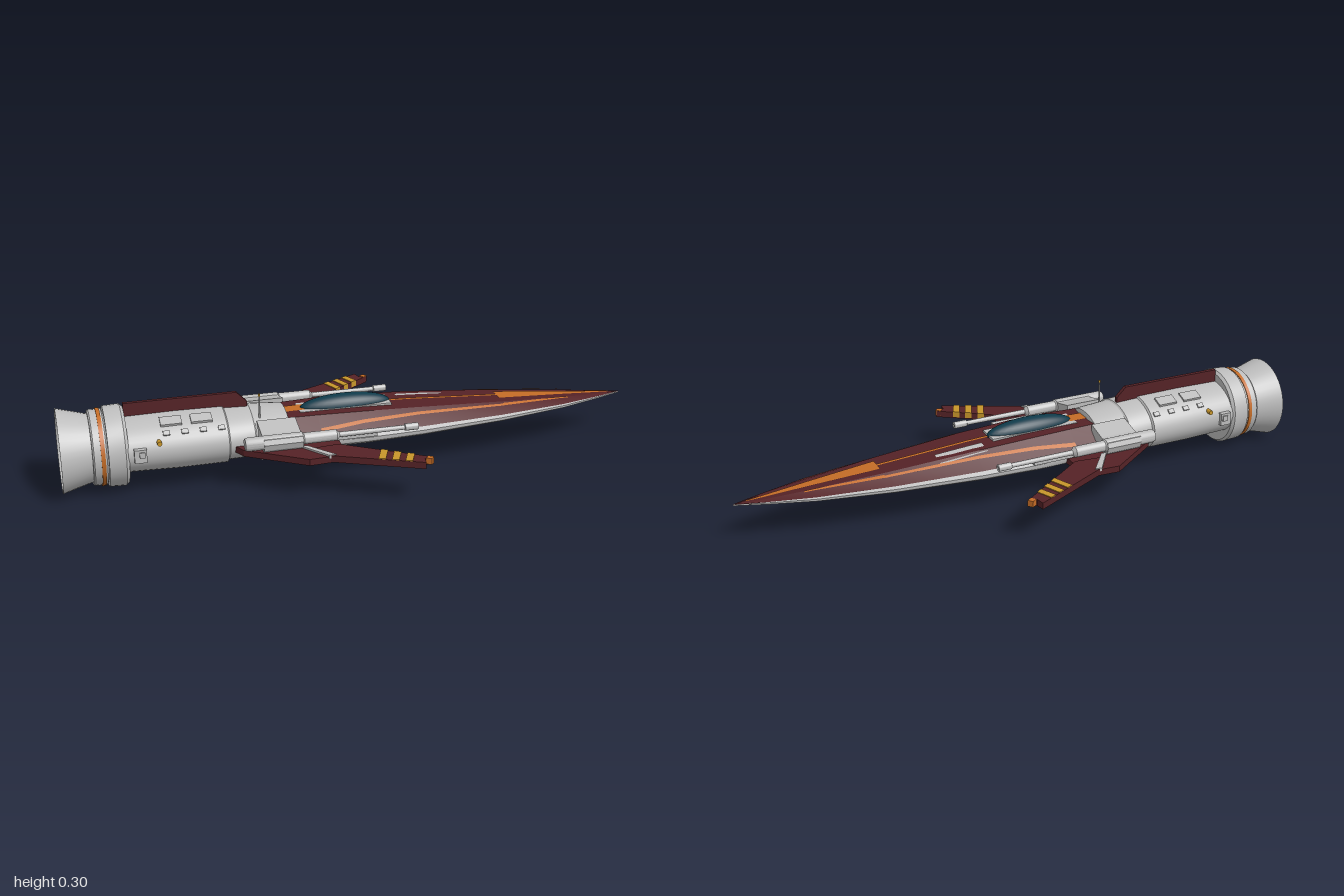
import * as THREE from 'three';
import { toCreasedNormals } from 'three/addons/utils/BufferGeometryUtils.js';

const mat = (name, color) => new THREE.MeshStandardMaterial({ name, color, side: THREE.DoubleSide });

export function createModel() {
  const root = new THREE.Group();
  root.name = 'starfighter';
  const grey = mat('lightGrey', 0xbdbdbd);
  const red = mat('darkRed', 0x552226);
  const orange = mat('orange', 0xc46c26);
  const gold = mat('gold', 0xc8962a);
  const teal = mat('tealGlass', 0x0e3a4a);
  const AXIS = 0.145; // height of the engine axis

  const add = (name, geo, material, x = 0, y = 0, z = 0) => {
    const m = new THREE.Mesh(geo, material);
    m.name = name;
    m.position.set(x, y, z);
    root.add(m);
    return m;
  };
  const box = (name, m, x, y, z, w, h, d) => add(name, new THREE.BoxGeometry(w, h, d), m, x, y, z);
  // Skin a series of rings of equal point count
  const loft = (rings, crease = 0.5) => {
    const n = rings[0].length, idx = [];
    for (let i = 0; i < rings.length - 1; i++)
      for (let j = 0; j < n - 1; j++) {
        const a = i * n + j, b = a + n;
        idx.push(a, b, a + 1, b, b + 1, a + 1);
      }
    const g = new THREE.BufferGeometry();
    g.setAttribute('position', new THREE.Float32BufferAttribute(rings.flat(2), 3));
    g.setIndex(idx);
    g.computeVertexNormals();
    return toCreasedNormals(g, crease);
  };
  // Turned part lying along x, from [radius, x] pairs
  const turned = (pts, seg = 40) => {
    const g = new THREE.LatheGeometry(pts.map(p => new THREE.Vector2(...p)), seg);
    return toCreasedNormals(g.rotateZ(-Math.PI / 2), 0.6);
  };
  // Flat plate from [x, z] outline, between two heights
  const plate = (pts, y0, y1) => {
    const shape = new THREE.Shape(pts.map(p => new THREE.Vector2(...p)));
    return new THREE.ExtrudeGeometry(shape, { depth: y1 - y0, bevelEnabled: false })
      .rotateX(Math.PI / 2).translate(0, y1, 0);
  };

  // Nose hull stations: x, half width, top, bottom
  const hull = [[-0.3, 0.14, 0.205, 0.09], [-0.15, 0.158, 0.207, 0.094], [0, 0.165, 0.205, 0.097],
    [0.2, 0.157, 0.197, 0.103], [0.5, 0.125, 0.178, 0.114], [0.75, 0.08, 0.16, 0.126],
    [0.9, 0.036, 0.148, 0.134], [1, 0.001, 0.141, 0.139]];
  const EDGE = 0.14, RIDGE = 0.5;
  const at = x => {
    let i = 0;
    while (i < hull.length - 2 && x > hull[i + 1][0]) i++;
    const a = hull[i], b = hull[i + 1], t = (x - a[0]) / (b[0] - a[0]);
    return a.map((v, k) => v + (b[k] - v) * t);
  };
  // Point on the deck; s is the fraction of the half width
  const deck = (x, s, lift = 0) => {
    const [, w, top] = at(x);
    const k = Math.min(1, (1 - Math.abs(s)) / (1 - RIDGE));
    return [x, EDGE + 0.004 + (top - EDGE - 0.004) * k + lift, s * w];
  };
  const xs = hull.map(h => h[0]);
  add('noseHull', loft(hull.map(([x, w, , b]) => {
    const ring = [[x, EDGE + 0.004, -w]];
    for (let i = 0; i <= 16; i++) {
      const a = Math.PI * i / 16;
      ring.push([x, EDGE - (EDGE - b) * Math.sin(a) ** 0.8, -w * Math.cos(a)]);
    }
    ring.push([x, EDGE + 0.004, w]);
    return ring;
  })), grey);
  add('noseRim', loft(xs.map(x => [1, 0.5, 0, -0.5, -1].map(s => deck(x, s, -0.002)))), grey);
  add('noseDeck', loft(xs.map(x => [0.92, RIDGE, 0, -RIDGE, -0.92].map(s => deck(x, s, 0.001))), 0.2), red);

  // Painted stripes following the deck: start, end, and inner and outer z at both ends
  const stripe = (name, m, x0, x1, a0, b0, a1, b1) => {
    const stops = [x0, ...xs.filter(x => x > x0 && x < x1), x1];
    add(name, loft(stops.map(x => {
      const t = (x - x0) / (x1 - x0), w = at(x)[1];
      return [b0 + (b1 - b0) * t, a0 + (a1 - a0) * t].map(z => deck(x, z / w, 0.004));
    })), m);
  };
  stripe('centreLine', orange, 0.12, 0.55, -0.006, 0.006, -0.006, 0.006);
  stripe('noseStripe', orange, 0.52, 0.96, -0.032, 0.032, -0.003, 0.003);
  stripe('cockpitStripe', orange, -0.25, -0.18, -0.025, 0.025, -0.025, 0.025);
  stripe('deckPanel', grey, 0.16, 0.33, -0.09, -0.035, -0.09, -0.035);
  for (const s of [1, -1]) {
    stripe('sideStripe', orange, -0.15, 0.52, s * 0.122, s * 0.134, s * 0.073, s * 0.081);
    stripe('tipStripe', orange, 0.52, 0.78, s * 0.07, s * 0.08, s * 0.038, s * 0.044);
  }

  // Cockpit
  box('canopyBase', grey, -0.04, 0.203, 0, 0.32, 0.012, 0.084);
  const canopy = add('canopy', new THREE.SphereGeometry(1, 32, 20), teal, -0.035, 0.203, 0);
  canopy.scale.set(0.16, 0.042, 0.041);

  // Stepped oval fuselage: x, half width, top, bottom
  const body = [[-0.8, 0.13, 0.245, 0.06], [-0.62, 0.134, 0.248, 0.055], [-0.46, 0.134, 0.246, 0.056],
    [-0.455, 0.126, 0.24, 0.064], [-0.37, 0.124, 0.237, 0.066], [-0.365, 0.119, 0.233, 0.073],
    [-0.25, 0.115, 0.224, 0.079], [-0.245, 0.09, 0.212, 0.092], [-0.245, 0, 0.15, 0.15]];
  add('fuselage', loft(body.map(([x, w, t, b]) => Array.from({ length: 41 }, (_, i) => {
    const a = -i / 40 * Math.PI * 2;
    return [x, (t + b) / 2 + (t - b) / 2 * Math.sin(a), w * Math.cos(a)];
  }))), grey);

  // Engine collar, rings and open nozzle
  add('collar', turned([[0.09, -0.85], [0.134, -0.85], [0.136, -0.795], [0.128, -0.785], [0.05, -0.785]]), grey, 0, AXIS);
  add('engineRing', turned([[0.09, -0.9], [0.122, -0.9], [0.126, -0.895], [0.126, -0.855], [0.118, -0.85]]), grey, 0, AXIS);
  add('ringBand', turned([[0.12, -0.873], [0.129, -0.873], [0.129, -0.86], [0.12, -0.86]]), orange, 0, AXIS);
  add('nozzle', turned([[0, -0.88], [0.1, -0.88], [0.108, -0.91], [0.134, -1], [0.141, -1], [0.116, -0.91], [0.112, -0.89]]), grey, 0, AXIS);

  // Dorsal fin
  const fin = new THREE.Shape([[-0.785, 0.235], [-0.785, 0.29], [-0.41, 0.29], [-0.375, 0.255], [-0.375, 0.232]]
    .map(p => new THREE.Vector2(...p)));
  add('dorsalFin', new THREE.ExtrudeGeometry(fin, { depth: 0.014, bevelEnabled: false }), red, 0, 0, -0.007);

  // Antenna
  add('antenna', new THREE.CylinderGeometry(0.0025, 0.0035, 0.08, 8), grey, -0.345, 0.255, 0.067);
  add('antennaTip', new THREE.CylinderGeometry(0.004, 0.004, 0.008, 8), gold, -0.345, 0.296, 0.067);

  // Mirrored side parts
  for (const s of [1, -1]) {
    const side = pts => pts.map(([x, z]) => [x, s * z]);
    // Swept wing with root panel, joint strip and forward blade
    add('wingRoot', plate(side([[-0.44, 0.12], [-0.42, 0.16], [-0.23, 0.29], [-0.15, 0.285], [-0.1, 0.2], [-0.1, 0.12]]), 0.124, 0.146), red);
    const L = t => [-0.11 + 0.265 * t, 0.2 + 0.183 * t], T = t => [-0.16 + 0.28 * t, 0.285 + 0.135 * t];
    add('wingBlade', plate(side([L(0), L(1), [0.125, 0.39], T(1), T(0), [-0.2, 0.21]]), 0.126, 0.149), red);
    add('wingJoint', plate(side([[-0.235, 0.19], [-0.215, 0.19], [-0.14, 0.285], [-0.165, 0.287]]), 0.14, 0.152), grey);
    for (const t of [0.45, 0.59, 0.73])
      add('wingStripe', plate(side([L(t), L(t + 0.075), T(t + 0.125), T(t + 0.05)]).map(([x, z]) => [x + 0.001, z]), 0.13, 0.1515), gold);
    add('wingTip', plate(side([L(0.95), [0.157, 0.386], [0.145, 0.401], [0.128, 0.39]]), 0.13, 0.151), orange);

    // Gun mount and cannon
    const mount = new THREE.Shape([[0.09, 0.1], [0.15, 0.1], [0.165, 0.12], [0.205, 0.155], [0.212, 0.175],
      [0.205, 0.192], [0.16, 0.196], [0.09, 0.215]].map(([z, y]) => new THREE.Vector2(-s * z, y)));
    add('gunMount', new THREE.ExtrudeGeometry(mount, { depth: 0.13, bevelEnabled: false }).rotateY(Math.PI / 2), grey, -0.36, 0, 0);
    add('cannon', turned([[0, -0.42], [0.02, -0.42], [0.023, -0.41], [0.023, -0.23], [0.019, -0.225], [0.019, -0.115],
      [0.009, -0.105], [0.008, 0.12], [0.012, 0.122], [0.012, 0.168], [0.006, 0.17], [0, 0.15]], 20), grey, 0, 0.176, s * 0.186);
    box('cannonRail', grey, -0.07, 0.158, s * 0.165, 0.2, 0.014, 0.022);

    // Hatches, lamps and panels on the fuselage
    box('sideHatch', grey, -0.75, 0.155, s * 0.133, 0.04, 0.045, 0.02);
    box('sideVent', grey, -0.745, 0.16, s * 0.142, 0.018, 0.02, 0.012);
    const lamp = add('sideLamp', new THREE.CylinderGeometry(0.008, 0.008, 0.03, 12), gold, -0.687, 0.19, s * 0.124);
    lamp.rotation.x = Math.PI / 2;
    for (const x of [-0.64, -0.54])
      box('topPanel', grey, x, 0.234, s * 0.065, 0.07, 0.014, 0.04).rotation.x = s * 0.34;
    for (const x of [-0.66, -0.6, -0.54, -0.48])
      box('sideBump', grey, x, 0.21, s * 0.104, 0.022, 0.012, 0.016).rotation.x = s * 0.7;
  }
  return root;
}
